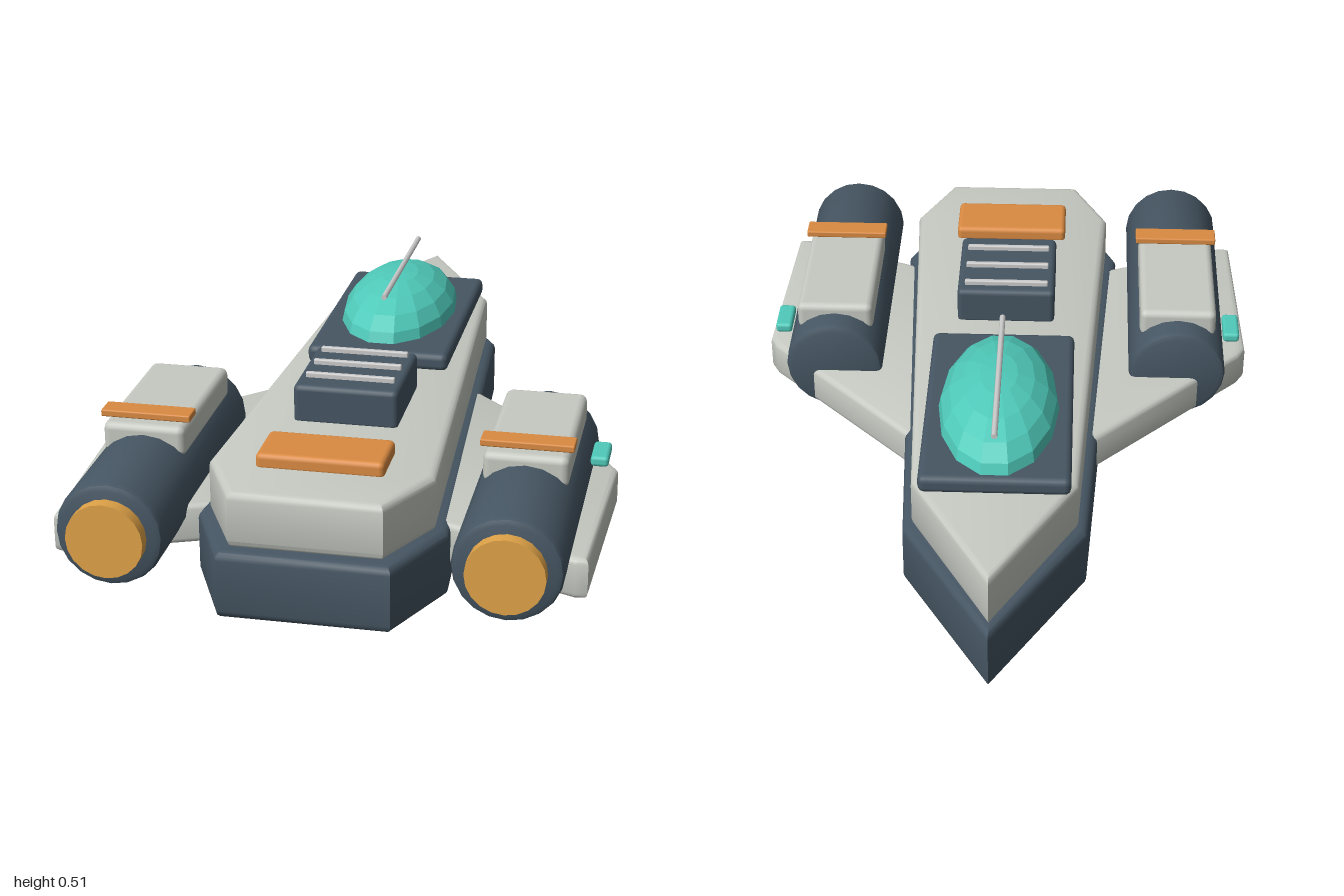
import * as THREE from 'three';
import { toCreasedNormals } from 'three/addons/utils/BufferGeometryUtils.js';
import { RoundedBoxGeometry } from 'three/addons/geometries/RoundedBoxGeometry.js';

const paint = (color, flatShading = false) => new THREE.MeshStandardMaterial({ color, flatShading });
const dark = paint(0x465663);
const light = paint(0xc6cac2);
const teal = paint(0x4fcaba, true);
const tealLight = paint(0x4fcaba);
const orange = paint(0xdb8b42);
const gold = paint(0xe0a348);
const metal = paint(0xcccccc);

export function createModel() {
  const model = new THREE.Group();

  const add = (name, geometry, material, x = 0, y = 0, z = 0) => {
    const mesh = new THREE.Mesh(geometry, material);
    mesh.name = name;
    mesh.position.set(x, y, z);
    model.add(mesh);
    return mesh;
  };

  // Rounded box given by its minimum and maximum on each axis
  const block = (name, material, [x0, x1], [y0, y1], [z0, z1], radius) =>
    add(name, new RoundedBoxGeometry(x1 - x0, y1 - y0, z1 - z0, 2, radius), material,
      (x0 + x1) / 2, (y0 + y1) / 2, (z0 + z1) / 2);

  // Plan outline of [x, z] points raised from y0 to y1 with rounded rims
  const slab = (name, material, outline, y0, y1, bevel) => {
    const shape = new THREE.Shape(outline.map(([x, z]) => new THREE.Vector2(x, -z)));
    const geometry = new THREE.ExtrudeGeometry(shape, {
      depth: y1 - y0 - 2 * bevel, bevelEnabled: true, bevelThickness: bevel,
      bevelSize: bevel, bevelOffset: -bevel, bevelSegments: 3,
    });
    geometry.rotateX(-Math.PI / 2);
    return add(name, toCreasedNormals(geometry, 0.6), material, 0, y0 + bevel, 0);
  };

  // Mirrors the +x half of an outline that starts at the nose
  const mirrored = (half) => [...half, ...half.slice(1).reverse().map(([x, z]) => [-x, z])];

  // Hull layers
  slab('lowerHull', dark, mirrored([[0, -1], [0.245, -0.59], [0.325, 0.76], [0.22, 0.99]]), 0, 0.182, 0.022);
  slab('upperHull', light, mirrored([[0, -0.965], [0.22, -0.575], [0.292, 0.76], [0.195, 0.955]]), 0.18, 0.33, 0.02);

  // Cockpit
  block('cockpitBase', dark, [-0.2, 0.2], [0.325, 0.376], [-0.625, 0.055], 0.018);
  const canopy = new THREE.SphereGeometry(1, 14, 10);
  canopy.scale(0.165, 0.128, 0.31);
  add('canopy', canopy, teal, 0, 0.366, -0.305);
  const rod = new THREE.CylinderGeometry(0.008, 0.008, 0.55, 8).rotateX(Math.PI / 2);
  add('canopyRod', rod, metal, 0, 0.498, -0.325);

  // Deck vent and rear panel
  block('ventBox', dark, [-0.14, 0.14], [0.32, 0.43], [0.18, 0.48], 0.015);
  for (const z of [0.22, 0.315, 0.41]) {
    block('ventSlat', metal, [-0.12, 0.12], [0.424, 0.444], [z - 0.007, z + 0.007], 0.004);
  }
  block('rearPanel', orange, [-0.165, 0.165], [0.32, 0.366], [0.63, 0.79], 0.014);

  // Engine body: chamfered cylinder lying along z
  const engineProfile = [[0, -0.42], [0.122, -0.42], [0.135, -0.414], [0.14, -0.4],
    [0.14, 0.4], [0.135, 0.414], [0.122, 0.42], [0, 0.42]].map(([r, y]) => new THREE.Vector2(r, y));
  const engineGeometry = toCreasedNormals(
    new THREE.LatheGeometry(engineProfile, 20).rotateX(Math.PI / 2), 0.7);
  const nozzleGeometry = new THREE.CylinderGeometry(0.1, 0.1, 0.08, 20).rotateX(Math.PI / 2);

  // Wings and engines on both sides
  const wing = [[0.2, -0.22], [0.25, -0.19], [0.685, 0.25], [0.707, 0.29], [0.685, 0.845], [0.655, 0.85], [0.2, 0.67]];
  for (const side of [1, -1]) {
    const prefix = side > 0 ? 'left' : 'right';
    const span = (a, b) => (side > 0 ? [a, b] : [-b, -a]);
    slab(prefix + 'Wing', light, wing.map(([x, z]) => [x * side, z]), 0.07, 0.18, 0.016);
    add(prefix + 'Engine', engineGeometry, dark, 0.5 * side, 0.19, 0.545);
    add(prefix + 'Nozzle', nozzleGeometry, gold, 0.5 * side, 0.19, 0.96);
    block(prefix + 'EngineCover', light, span(0.39, 0.61), [0.27, 0.356], [0.2, 0.65], 0.02);
    block(prefix + 'EngineStripe', orange, span(0.38, 0.62), [0.363, 0.382], [0.565, 0.627], 0.004);
    block(prefix + 'SideLight', tealLight, span(0.638, 0.686), [0.216, 0.245], [0.26, 0.372], 0.01);
  }

  return model;
}
